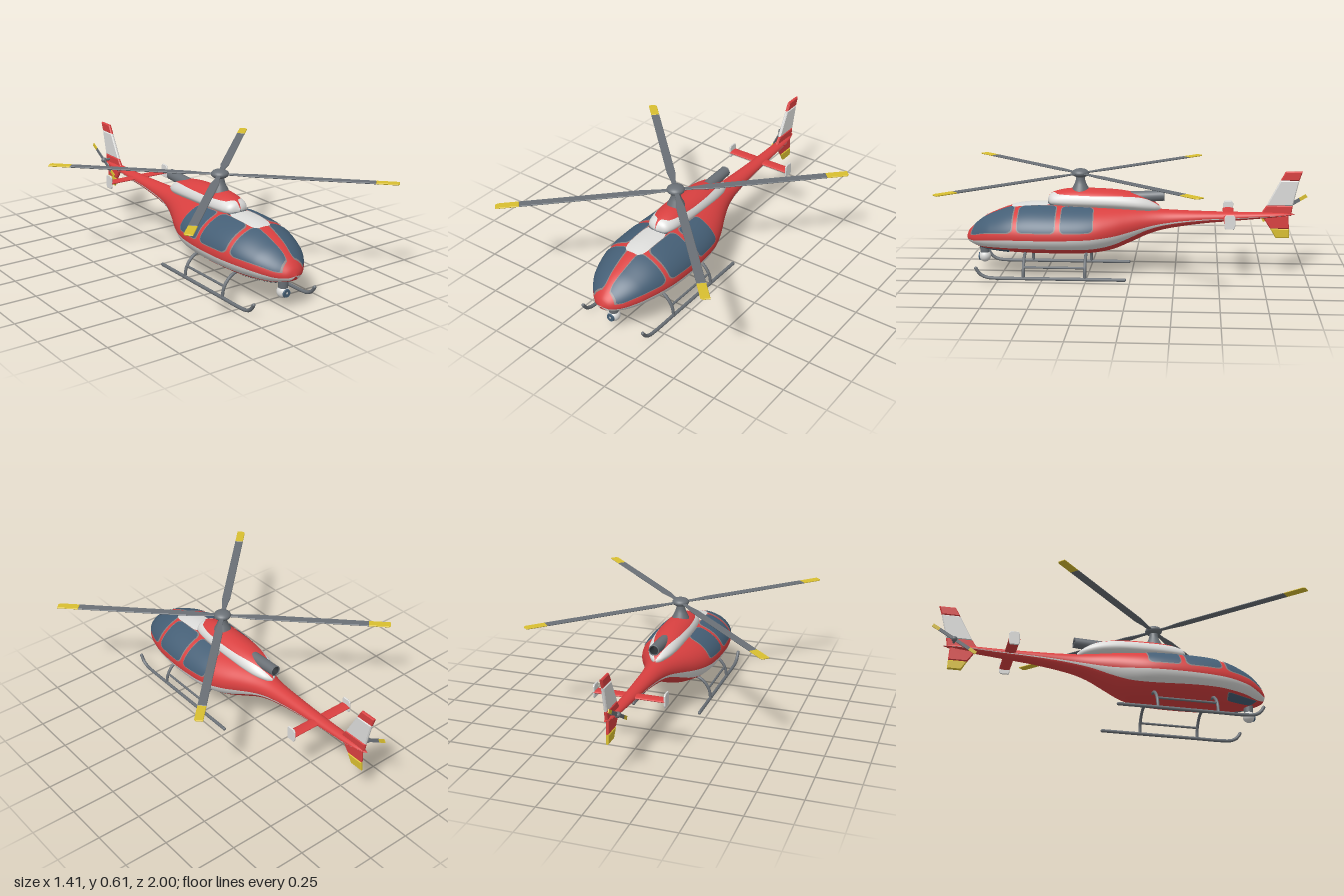
import * as THREE from 'three';

const RAD = Math.PI / 180;
const mat = (name, color, side = THREE.FrontSide) => {
  const m = new THREE.MeshStandardMaterial({ color, side });
  m.name = name;
  return m;
};

// Smooth interpolation of station tables whose first column is z, front to back
function sample(T, z) {
  let i = 0;
  while (i < T.length - 2 && z < T[i + 1][0]) i++;
  const a = T[i], b = T[i + 1], p = T[Math.max(i - 1, 0)], n = T[Math.min(i + 2, T.length - 1)];
  const d = b[0] - a[0], s = Math.min(1, Math.max(0, (z - a[0]) / d));
  const h = s * s * (3 - 2 * s);
  return a.slice(1).map((v, k) => {
    const c = k + 1;
    const m0 = (b[c] - p[c]) / (b[0] - p[0]) * d, m1 = (n[c] - a[c]) / (n[0] - a[0]) * d;
    return v * (1 - h) + b[c] * h + m0 * s * (1 - s) ** 2 - m1 * s * s * (1 - s);
  });
}

// Stations: z, half width, top, widest height, bottom
const BODY = [
  [.96, .004, .212, .21, .206], [.95, .04, .24, .21, .185], [.93, .07, .265, .212, .173],
  [.9, .102, .293, .218, .16], [.85, .14, .33, .23, .146], [.8, .168, .355, .238, .138],
  [.7, .203, .393, .247, .128], [.6, .222, .412, .25, .124], [.45, .23, .416, .252, .122],
  [.3, .224, .413, .255, .123], [.2, .208, .41, .26, .13], [.1, .172, .405, .275, .15],
  [0, .125, .398, .295, .192], [-.1, .085, .388, .31, .238], [-.2, .062, .38, .32, .268],
  [-.4, .045, .373, .335, .3], [-.6, .036, .37, .343, .32], [-.85, .024, .37, .355, .345],
  [-.93, .004, .362, .36, .358],
];
// Stripe: z, upper angle, lower angle (degrees from the top)
const STRIPE = [
  [.96, 108, 150], [.9, 104, 142], [.8, 99, 130], [.6, 97, 124], [.2, 97, 128], [.1, 100, 128],
  [0, 103, 125], [-.1, 102, 118], [-.3, 97, 108], [-.93, 97, 107],
];
const COWL = [
  [.485, .004, .435, .43, .425], [.47, .05, .462, .43, .4], [.44, .072, .48, .43, .395],
  [.36, .086, .497, .43, .39], [.25, .092, .5, .43, .385], [.1, .092, .494, .427, .38],
  [0, .085, .48, .42, .375], [-.08, .068, .455, .41, .37], [-.15, .03, .41, .395, .37],
  [-.165, .004, .395, .385, .375],
];
const COWLTOP = [[.485, 8], [.45, 10], [.42, 42], [.3, 57], [.1, 55], [0, 46], [-.1, 32], [-.165, 20]];

// Point on a hull at z and angle, pushed outward by off
function hull(T, z, deg, off = 0) {
  const [w, top, mid, bot] = sample(T, z), t = deg * RAD;
  const s = Math.sin(t), c = Math.cos(t), h = c > 0 ? top - mid : mid - bot;
  const x = w * Math.sign(s) * Math.abs(s) ** (c > 0 ? 1.1 : 1);
  const nx = s / w, ny = c / h, l = Math.hypot(nx, ny) || 1;
  return [x + off * nx / l, mid + h * c + off * ny / l, z];
}

// Closed smooth hull; angle spans between knots each take their own material
function loft(T, rows, knots, counts, mats) {
  const pos = [], idx = [], N = counts.reduce((a, b) => a + b), z0 = T[0][0], z1 = T[T.length - 1][0];
  for (let i = 0; i <= rows; i++) {
    const z = z0 + (z1 - z0) * (i / rows) ** 1.5, k = knots(z);
    counts.forEach((n, g) => {
      for (let j = 0; j < n; j++) pos.push(...hull(T, z, k[g] + (k[g + 1] - k[g]) * j / n));
    });
  }
  const geo = new THREE.BufferGeometry();
  let j = 0;
  counts.forEach((n, g) => {
    const start = idx.length;
    for (const end = j + n; j < end; j++) for (let i = 0; i < rows; i++) {
      const a = i * N + j, b = i * N + (j + 1) % N;
      idx.push(a, b, a + N, b, b + N, a + N);
    }
    geo.addGroup(start, idx.length - start, mats[g]);
  });
  geo.setAttribute('position', new THREE.Float32BufferAttribute(pos, 3));
  geo.setIndex(idx);
  geo.computeVertexNormals();
  return geo;
}

// Rounded panel on the body; q = four [z, angle]: front upper, rear upper, rear lower, front lower
function panel(q, side, off, grow = 0, r = .3) {
  const n = 24, pos = [], idx = [];
  for (let i = 0; i <= n; i++) for (let j = 0; j <= n; j++) {
    const b = Math.sin((i / n - .5) * Math.PI);
    const e = Math.max(0, (Math.abs(b) - 1 + r) / r);
    const a = (j / n * 2 - 1) * (1 - r * (1 - Math.sqrt(Math.max(0, 1 - e * e))));
    const u = (a * (1 + grow) + 1) / 2, v = (b * (1 + grow) + 1) / 2;
    const mix = k => (q[0][k] * (1 - u) + q[1][k] * u) * (1 - v) + (q[3][k] * (1 - u) + q[2][k] * u) * v;
    pos.push(...hull(BODY, mix(0), side * mix(1), off));
  }
  for (let i = 0; i < n; i++) for (let j = 0; j < n; j++) {
    const a = i * (n + 1) + j, b = a + 1, c = a + n + 1, d = c + 1;
    if (side > 0) idx.push(a, c, b, b, c, d);
    else idx.push(a, b, c, b, d, c);
  }
  const geo = new THREE.BufferGeometry();
  geo.setAttribute('position', new THREE.Float32BufferAttribute(pos, 3));
  geo.setIndex(idx);
  geo.computeVertexNormals();
  return geo;
}

// Flat plate cut from an outline, centred on its thickness
function plate(pts, thick) {
  const bevel = thick * .3;
  return new THREE.ExtrudeGeometry(new THREE.Shape(pts.map(p => new THREE.Vector2(...p))), {
    depth: thick - 2 * bevel, bevelThickness: bevel, bevelSize: bevel, bevelOffset: -bevel, bevelSegments: 1,
  }).translate(0, 0, bevel - thick / 2);
}
const upright = (pts, thick) => plate(pts, thick).rotateY(-Math.PI / 2);
const tube = (pts, r) => new THREE.TubeGeometry(
  new THREE.CatmullRomCurve3(pts.map(p => new THREE.Vector3(...p))), 40, r, 10);

export function createModel() {
  const model = new THREE.Group();
  const red = mat('red paint', 0xd94040), white = mat('white paint', 0xdcdcda);
  const glass = mat('window glass', 0x455f76), grey = mat('grey metal', 0x6a7076);
  const yellow = mat('yellow marking', 0xd9bf30), frame = mat('window frame', 0x8b7f7f);
  const dark = mat('dark opening', 0x2f3438, THREE.DoubleSide);
  const add = (name, geo, m, x = 0, y = 0, z = 0, parent = model) => {
    const mesh = new THREE.Mesh(geo, m);
    mesh.name = name;
    mesh.position.set(x, y, z);
    parent.add(mesh);
    return mesh;
  };

  // Fuselage with tail boom, and engine cowling
  add('fuselage', loft(BODY, 100, z => {
    const [a, b] = sample(STRIPE, z);
    return [-180, -b, -a, a, b, 180];
  }, [12, 6, 44, 6, 12], [0, 1, 0, 1, 0]), [red, white]);
  add('engineCowling', loft(COWL, 60, z => {
    const [a] = sample(COWLTOP, z);
    return [-180, -a, a, 180];
  }, [14, 18, 14], [1, 0, 1]), [red, white]);
  add('airIntake', new THREE.SphereGeometry(1, 24, 12).scale(.062, .02, .03), grey, 0, .414, .455);
  add('roofPanel', panel([[.69, -19], [.45, -19], [.45, 19], [.69, 19]], 1, .003, 0, .5), white);

  // Windows with frames
  const windows = {
    windshield: [[.905, 12], [.67, 12], [.67, 80], [.925, 74]],
    frontSideWindow: [[.635, 20], [.425, 20], [.425, 80], [.635, 79]],
    rearSideWindow: [[.39, 22], [.215, 24], [.21, 80], [.39, 80]],
    chinWindow: [[.89, 143], [.69, 131], [.7, 152], [.86, 164]],
  };
  for (const side of [1, -1]) for (const [name, q] of Object.entries(windows)) {
    add(name + 'Frame', panel(q, side, .002, .06), frame);
    add(name, panel(q, side, .004), glass);
  }

  // Exhaust pipe
  const exhaust = new THREE.Group();
  exhaust.name = 'exhaust';
  exhaust.position.set(0, .455, -.09);
  exhaust.rotation.x = -Math.PI / 2 + .06;
  model.add(exhaust);
  add('exhaustPipe', new THREE.CylinderGeometry(.03, .034, .19, 24, 1, true), grey, 0, 0, 0, exhaust);
  add('exhaustBore', new THREE.CylinderGeometry(.026, .026, .08, 24, 1, true), dark, 0, .055, 0, exhaust);
  add('exhaustLip', new THREE.TorusGeometry(.028, .003, 8, 24).rotateX(Math.PI / 2), grey, 0, .094, 0, exhaust);
  add('exhaustBack', new THREE.CircleGeometry(.027, 24).rotateX(-Math.PI / 2), dark, 0, .03, 0, exhaust);

  // Main rotor
  const V = (x, y) => new THREE.Vector2(x, y);
  add('mast', new THREE.LatheGeometry(
    [V(.055, .475), V(.047, .5), V(.034, .525), V(.026, .55), V(.026, .585)], 28), grey, 0, 0, .295);
  add('rotorHub', new THREE.SphereGeometry(1, 28, 14).scale(.05, .026, .05), grey, 0, .587, .295);
  for (let k = 0; k < 4; k++) {
    const blade = new THREE.Group();
    blade.name = 'mainBlade';
    blade.position.set(0, .585, .295);
    blade.rotation.y = Math.PI / 4 + k * Math.PI / 2;
    const lay = (pts, t) => plate(pts, t).rotateX(-Math.PI / 2);
    add('bladeBody', lay([[.02, -.012], [.1, -.014], [.18, -.024], [.845, -.024],
      [.845, .024], [.18, .024], [.1, .014], [.02, .012]], .007), grey, 0, 0, 0, blade);
    add('bladeTip', lay([[.845, -.024], [.958, -.024], [.97, -.014], [.97, .024], [.845, .024]], .007),
      yellow, 0, 0, 0, blade);
    model.add(blade);
  }

  // Tail fins
  add('finRoot', upright([[-.73, .35], [-.91, .35], [-.918, .41], [-.77, .41]], .018), red);
  add('finMiddle', upright([[-.77, .41], [-.918, .41], [-.951, .555], [-.846, .555]], .018), white);
  add('finTop', upright([[-.846, .555], [-.951, .555], [-.968, .607], [-.874, .607]], .018), red);
  add('lowerFin', upright([[-.74, .355], [-.793, .275], [-.9, .275], [-.895, .355]], .018), red);
  add('lowerFinTip', upright([[-.793, .275], [-.825, .22], [-.903, .22], [-.9, .275]], .018), yellow);

  // Stabiliser and end plates
  add('stabiliser', new THREE.CylinderGeometry(1, 1, .4, 24).rotateZ(Math.PI / 2).scale(1, .009, .032),
    red, 0, .347, -.556);
  for (const x of [.2, -.2]) add('stabiliserEndPlate', upright([[-.532, .312], [-.527, .325], [-.527, .38],
    [-.536, .393], [-.578, .393], [-.587, .38], [-.587, .325], [-.58, .312]], .01), white, x);

  // Tail rotor on the right of the fin
  const tail = new THREE.Group();
  tail.name = 'tailRotor';
  tail.position.set(-.05, .385, -.875);
  tail.rotation.x = 31 * RAD;
  model.add(tail);
  add('tailRotorShaft', new THREE.CylinderGeometry(.008, .008, .05, 12).rotateZ(Math.PI / 2), grey, .025, 0, 0, tail);
  add('tailRotorHub', new THREE.SphereGeometry(.017, 16, 12), grey, 0, 0, 0, tail);
  for (const s of [1, -1]) {
    add('tailBlade', new THREE.BoxGeometry(.005, .02, .1), grey, 0, 0, s * .05, tail);
    add('tailBladeTip', new THREE.BoxGeometry(.005, .02, .045), yellow, 0, 0, s * .1225, tail);
  }

  // Landing skids
  for (const s of [1, -1]) {
    const x = s * .205;
    add('skid', tube([[x, .012, .03], [x, .012, .3], [x, .012, .6], [x, .012, .76], [x, .018, .82],
      [x, .038, .855], [x, .068, .875]], .01), grey);
    add('skidEnd', new THREE.SphereGeometry(.01, 10, 8), grey, x, .012, .03);
    add('skidFrontEnd', new THREE.SphereGeometry(.01, 10, 8), grey, x, .068, .875);
    add('step', tube([[s * .193, .075, .605], [s * .193, .075, .255]], .007), grey);
    for (const z of [.605, .255]) add('skidLeg', tube([[x, .012, z], [s * .197, .06, z], [s * .175, .1, z],
      [s * .135, .133, z], [s * .07, .148, z]], .009), grey);
  }

  // Camera ball under the nose
  add('cameraMount', new THREE.CylinderGeometry(.03, .026, .06, 20), grey, 0, .142, .86);
  add('cameraBall', new THREE.SphereGeometry(.035, 24, 16), white, 0, .09, .86);
  add('cameraLens', new THREE.CylinderGeometry(.022, .024, .008, 20).rotateX(Math.PI / 2), glass, 0, .088, .89);
  return model;
}
